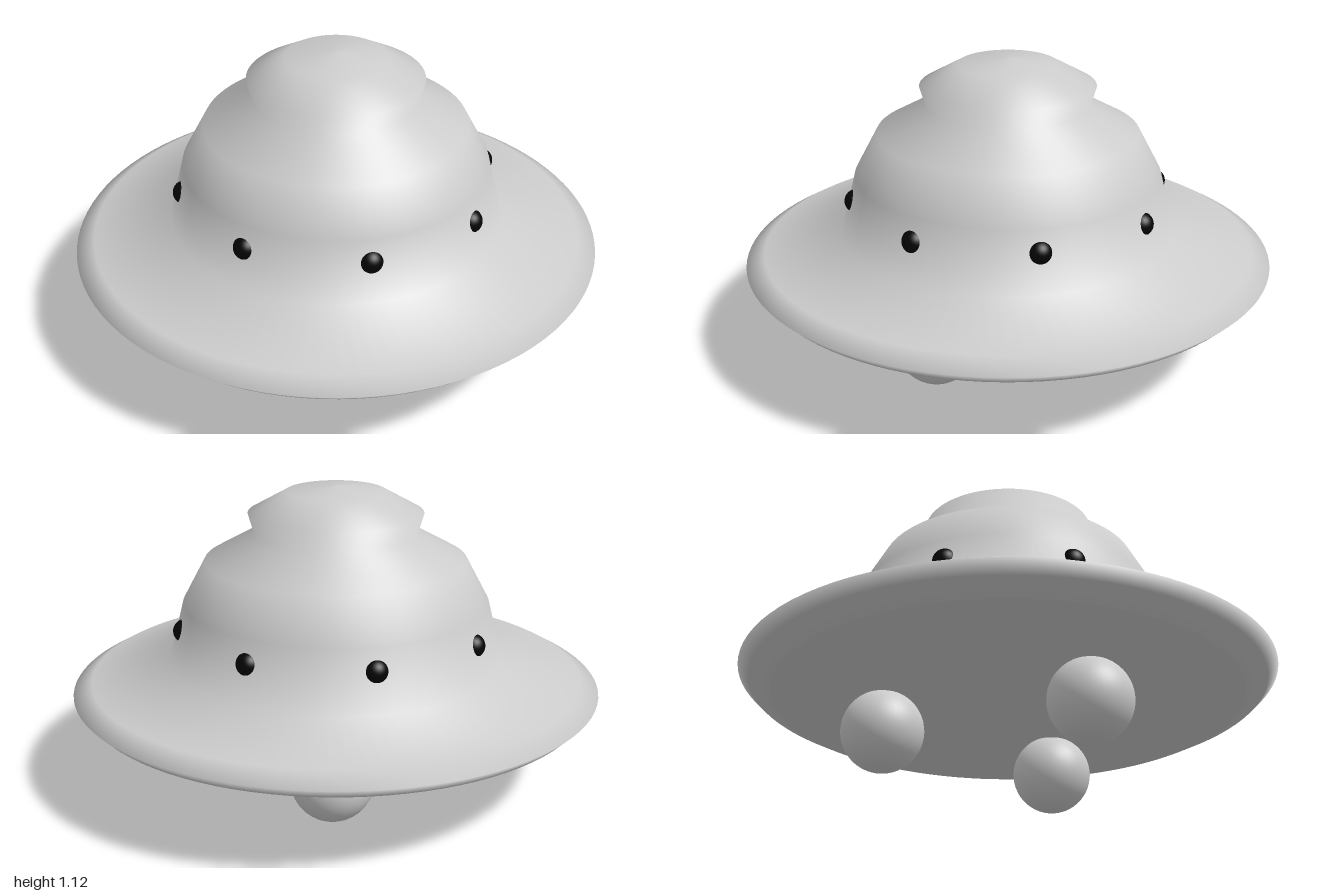
import * as THREE from 'three';

const grey = new THREE.MeshStandardMaterial({ color: 0xcccccc });
const black = new THREE.MeshStandardMaterial({ color: 0x050505 });

function lathe(name, profile) {
  const points = profile.map(([r, y]) => new THREE.Vector2(r, y));
  const mesh = new THREE.Mesh(new THREE.LatheGeometry(points, 96), grey);
  mesh.name = name;
  return mesh;
}

// Evenly spaced balls on a horizontal circle, the first one on +x
function ballRing(name, count, ringRadius, y, ballRadius, material) {
  const ring = new THREE.Group();
  ring.name = name + 's';
  const geometry = new THREE.SphereGeometry(ballRadius, 40, 28);
  for (let i = 0; i < count; i++) {
    const angle = (i / count) * Math.PI * 2;
    const ball = new THREE.Mesh(geometry, material);
    ball.name = name;
    ball.position.set(Math.cos(angle) * ringRadius, y, Math.sin(angle) * ringRadius);
    ring.add(ball);
  }
  return ring;
}

export function createModel() {
  const saucer = new THREE.Group();
  saucer.name = 'flyingSaucer';

  // Rim, dome and cap in one smooth profile
  saucer.add(lathe('hull', [
    [0.88, 0.285], [0.96, 0.325], [1.0, 0.365], [0.93, 0.405],
    [0.635, 0.467], [0.578, 0.69], [0.492, 0.85],
    [0.307, 0.953], [0.328, 1.025], [0.185, 1.105], [0, 1.125],
  ]));

  // Flat underside
  saucer.add(lathe('underside', [[0, 0.285], [0.88, 0.285]]));

  // Portholes around the dome
  saucer.add(ballRing('porthole', 8, 0.577, 0.602, 0.045, black));

  // Three landing balls
  saucer.add(ballRing('landingBall', 3, 0.463, 0.153, 0.153, grey));

  return saucer;
}
